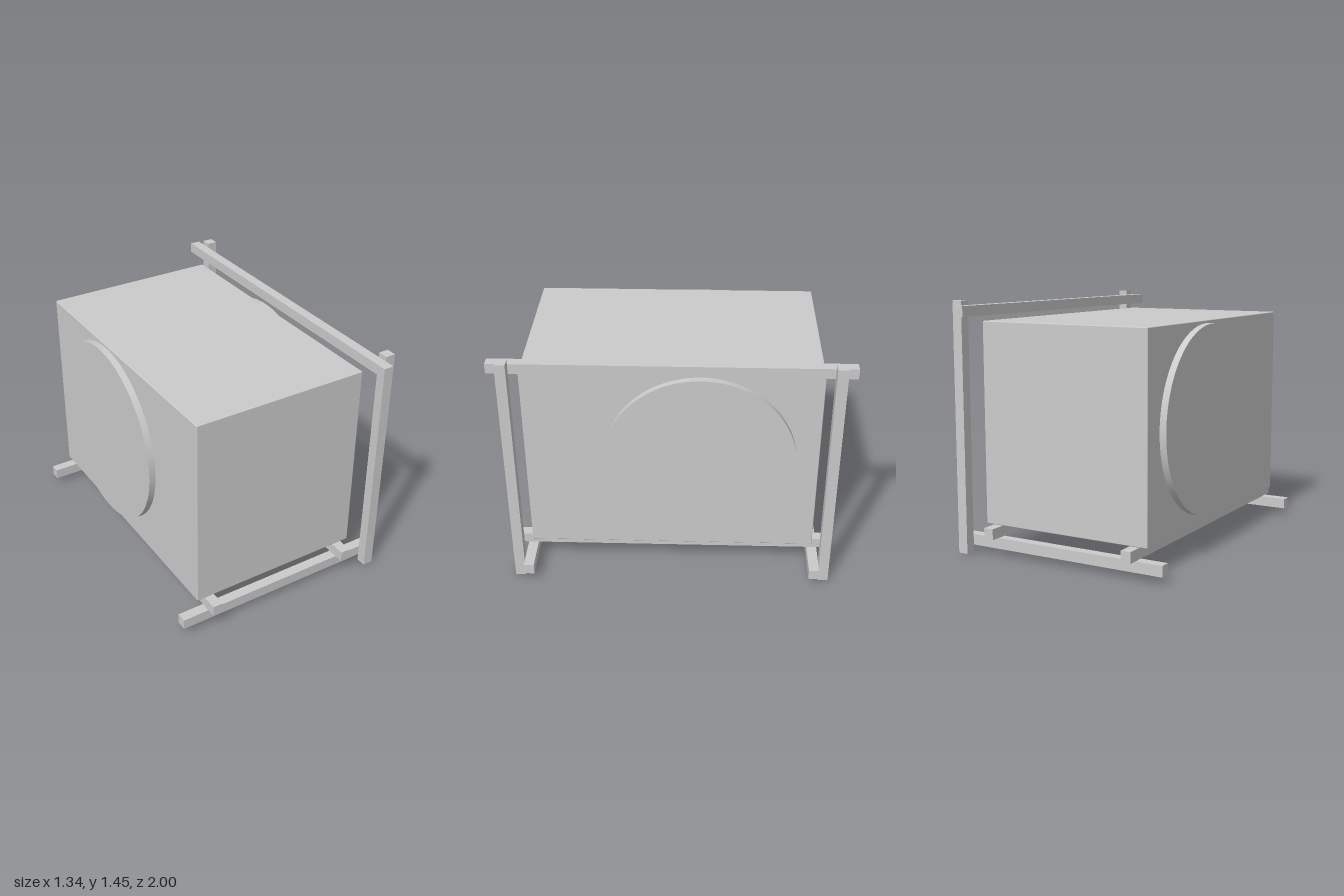
import * as THREE from 'three';
import { RoundedBoxGeometry } from 'three/addons/geometries/RoundedBoxGeometry.js';

const BAR = 0.06; // square section of every frame bar

export function createModel() {
  const group = new THREE.Group();
  const material = new THREE.MeshStandardMaterial({ color: 0xcccccc });

  function add(name, geometry, x, y, z) {
    const mesh = new THREE.Mesh(geometry, material);
    mesh.name = name;
    mesh.position.set(x, y, z);
    group.add(mesh);
    return mesh;
  }

  // Main cabinet with very slightly eased edges
  add('cabinet', new RoundedBoxGeometry(1.06, 1.166, 1.68, 2, 0.005), -0.03, 0.752, 0);

  // Round plates standing proud of both sides, set towards the back
  for (const side of [-1, 1]) {
    const plate = add(side < 0 ? 'rightPlate' : 'leftPlate',
      new THREE.CylinderGeometry(0.55, 0.55, 0.06, 96), -0.03 + side * 0.54, 0.768, -0.16);
    plate.rotation.z = Math.PI / 2;
  }

  // Lengthwise runners under the cabinet
  add('rightRunner', new THREE.BoxGeometry(BAR, 0.063, 1.86), -0.48, 0.137, 0);
  add('leftRunner', new THREE.BoxGeometry(BAR, 0.063, 1.86), 0.42, 0.137, 0);

  // Cross beams and upright posts at both ends
  for (const end of [-1, 1]) {
    const label = end > 0 ? 'front' : 'back';
    add(label + 'CrossBeam', new THREE.BoxGeometry(1.34, 0.063, BAR), 0, 0.0735, end * 0.847);
    add(label + 'Post', new THREE.BoxGeometry(BAR, 1.45, BAR), 0.6, 0.725, end * 0.907);
  }

  // Top rail joining the posts
  add('topRail', new THREE.BoxGeometry(BAR, BAR, 2), 0.54, 1.393, 0);

  return group;
}
